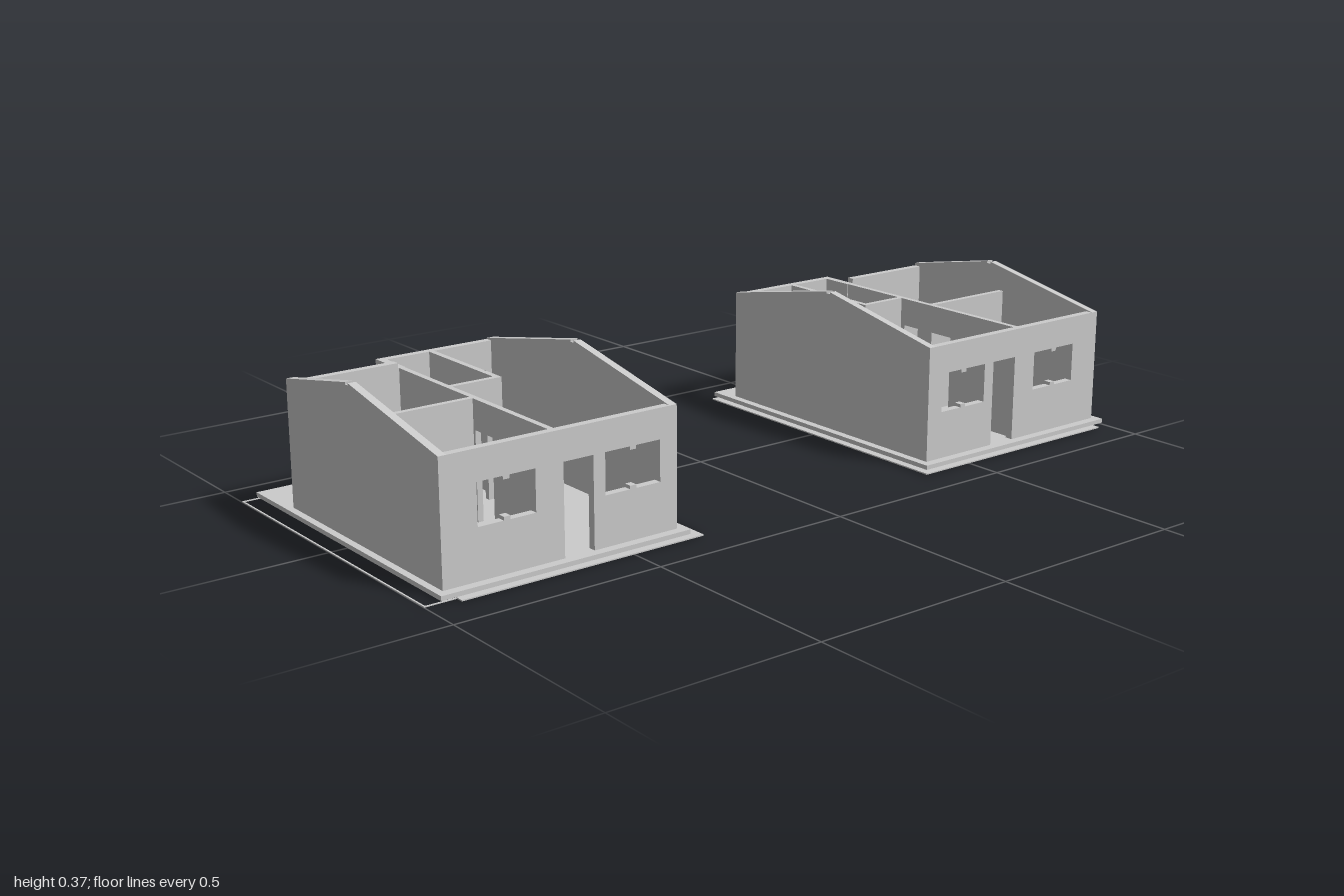
import * as THREE from 'three';

const material = new THREE.MeshStandardMaterial({ color: 0xcccccc, flatShading: true });
const FLOOR = 0.0145, EAVE = 0.295, HEAD = 0.225, SILL = 0.13;
const T = 0.019, P = 0.014; // outer wall and partition thickness
const RIGHT = 0.369, LEFT = -0.351, STEP = -0.268; // outer faces of the side walls
const NEAR = 0.395, MID = 0.715, FAR = 0.983; // distances from the centre line

function path(points, Type) {
  return new Type(points.map(([u, v]) => new THREE.Vector2(u, v)));
}

function add(parent, name, geometry) {
  const mesh = new THREE.Mesh(geometry, material);
  mesh.name = name;
  parent.add(mesh);
  return mesh;
}

function slab(parent, name, [x0, x1], [y0, y1], [z0, z1]) {
  const g = new THREE.BoxGeometry(x1 - x0, y1 - y0, z1 - z0);
  g.translate((x0 + x1) / 2, (y0 + y1) / 2, (z0 + z1) / 2);
  return add(parent, name, g);
}

// Outline of a flat wall; doors cut into the lower edge, so they stay open to the floor
function wallShape([a, b], top, doors = [], windows = []) {
  const pts = [[a, FLOOR]];
  for (const [d0, d1] of [...doors].sort((p, q) => p[0] - q[0])) {
    pts.push([d0, FLOOR], [d0, HEAD], [d1, HEAD], [d1, FLOOR]);
  }
  pts.push([b, FLOOR], ...(typeof top === 'number' ? [[b, top], [a, top]] : top));
  const shape = path(pts, THREE.Shape);
  for (const w of windows) shape.holes.push(path(w, THREE.Path));
  return shape;
}

// Window opening with a small stub at the middle of the head and the sill
function windowHole([a, b], sill = SILL, stub = 0.008) {
  const m = (a + b) / 2, s = stub;
  return [[a, sill], [m - s, sill], [m - s, sill + s], [m + s, sill + s], [m + s, sill], [b, sill],
    [b, HEAD], [m + s, HEAD], [m + s, HEAD - s], [m - s, HEAD - s], [m - s, HEAD], [a, HEAD]];
}

function extrude(shape, depth) {
  return new THREE.ExtrudeGeometry(shape, { depth, bevelEnabled: false });
}

// Wall running along x, filling the given z range
function wallX(parent, name, shape, [z0, z1]) {
  add(parent, name, extrude(shape, z1 - z0).translate(0, 0, z0));
}

// Wall running along z, filling the given x range
function wallZ(parent, name, shape, [x0, x1]) {
  add(parent, name, extrude(shape, x1 - x0).rotateY(-Math.PI / 2).translate(x1, 0, 0));
}

// Sloping gable edge with a slit at the ridge
function gableTop(x0) {
  return [[RIGHT, EAVE], [0.015, 0.365], [0.015, 0.36], [0.003, 0.36], [0.003, 0.365],
    [x0, 0.365 + 0.193 * x0]];
}

// One house; zAt turns a distance from the centre line into z
function house(name, zAt) {
  const g = new THREE.Group();
  g.name = name;
  const span = (d0, d1) => [zAt(d0), zAt(d1)].sort((p, q) => p - q);

  // Floor
  slab(g, 'floorSlab', [-0.416, 0.391], [0.004, FLOOR], span(0.375, 1.0));
  slab(g, 'underPlate', [-0.4, 0.411], [0.001, 0.004], span(0.355, 0.965));

  // Gable walls
  wallX(g, 'farGable', wallShape([STEP, RIGHT], gableTop(STEP)), span(FAR - T, FAR));
  wallX(g, 'nearGable', wallShape([LEFT, RIGHT], gableTop(LEFT)), span(NEAR, NEAR + T));

  // Long side wall with two windows and the front door
  wallZ(g, 'longSideWall', wallShape(span(NEAR + T, FAR - T), EAVE, [span(0.613, 0.688)],
    [windowHole(span(0.757, 0.897)), windowHole(span(0.44, 0.583))]), [RIGHT - T, RIGHT]);

  // Stepped side: bedroom wall, return wall and bathroom wall with the back door
  wallZ(g, 'bedroomSideWall', wallShape(span(MID, FAR - T), 0.307, [],
    [windowHole(span(0.765, 0.905))]), [STEP, STEP + T]);
  wallX(g, 'returnWall', wallShape([LEFT, STEP + T], EAVE), span(MID - T, MID));
  wallZ(g, 'bathroomSideWall', wallShape(span(NEAR + T, MID - T), EAVE, [span(0.43, 0.503)],
    [windowHole(span(0.604, 0.685), 0.175, 0.004)]), [LEFT, LEFT + T]);

  // Partitions
  wallX(g, 'bedroomPartition', wallShape([STEP + T, RIGHT - T], EAVE,
    [[-0.03, 0.042], [0.07, 0.138]]), span(0.698, 0.698 + P));
  wallZ(g, 'bedroomDivider', wallShape(span(0.698 + P, FAR - T), EAVE), [0.049, 0.049 + P]);
  wallX(g, 'bathroomPartition', wallShape([LEFT + T, -0.043], EAVE), span(0.57, 0.57 + P));
  wallZ(g, 'bathroomDoorWall', wallShape(span(0.57 + P, 0.698), EAVE,
    [span(0.612, 0.684)]), [-0.043 - P, -0.043]);
  return g;
}

export function createModel() {
  const model = new THREE.Group();
  model.name = 'twinHouses';
  model.add(house('backHouse', (d) => -d));
  model.add(house('frontHouse', (d) => d - 0.039));

  // Thin ground outline beside the front house
  const outline = new THREE.Group();
  outline.name = 'groundOutline';
  const x = [-0.412, 0.391], z = [0.395, 1.0], w = 0.004, y = [0, 0.002];
  for (const z0 of [z[0], z[1] - w]) slab(outline, 'outlineEnd', x, y, [z0, z0 + w]);
  for (const x0 of [x[0], x[1] - w]) slab(outline, 'outlineSide', [x0, x0 + w], y, [z[0] + w, z[1] - w]);
  model.add(outline);
  return model;
}
